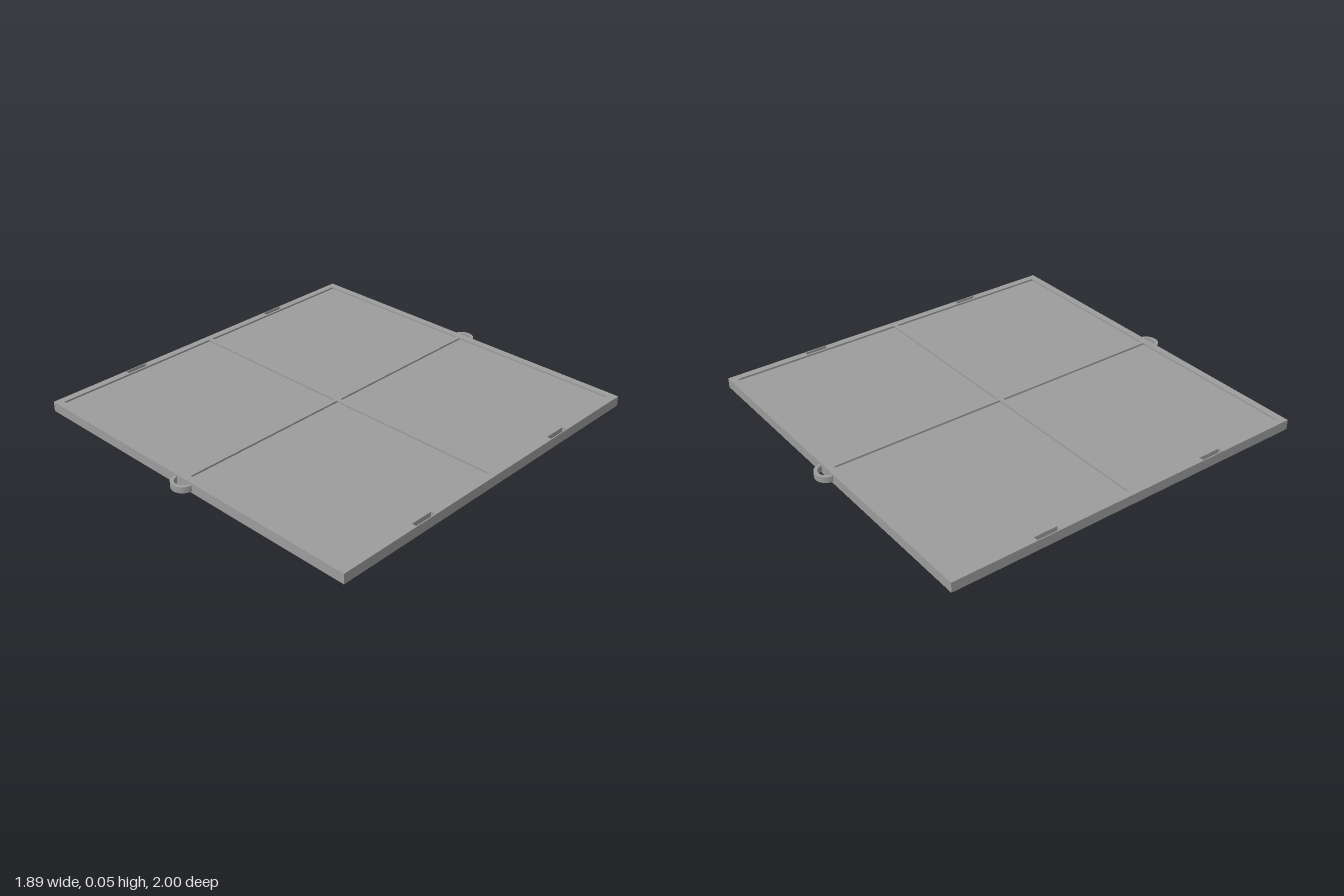
import * as THREE from 'three';

const HALF = 0.945;      // outer half width of the frame
const RIM = 0.036;       // rim width
const HEIGHT = 0.05;
const SLOT_FLOOR = 0.012;

function rect(Type, cx, cy, w, h) {
  const p = new Type();
  p.moveTo(cx - w / 2, cy - h / 2);
  p.lineTo(cx + w / 2, cy - h / 2);
  p.lineTo(cx + w / 2, cy + h / 2);
  p.lineTo(cx - w / 2, cy + h / 2);
  p.closePath();
  return p;
}

// Extrudes a plan outline upwards from y0 to y1
function slab(shape, y0, y1) {
  const g = new THREE.ExtrudeGeometry(shape, { depth: y1 - y0, bevelEnabled: false, curveSegments: 24 });
  g.rotateX(-Math.PI / 2);
  g.translate(0, y0, 0);
  return g;
}

export function createModel() {
  const group = new THREE.Group();
  const material = new THREE.MeshStandardMaterial({ color: 0x9c9c9c });
  const add = (name, geometry) => {
    const mesh = new THREE.Mesh(geometry, material);
    mesh.name = name;
    group.add(mesh);
    return mesh;
  };
  const inner = 2 * (HALF - RIM);

  // Square rim: solid lower layer, upper layer with four blind slots
  const ringShape = () => {
    const s = rect(THREE.Shape, 0, 0, 2 * HALF, 2 * HALF);
    s.holes.push(rect(THREE.Path, 0, 0, inner, inner));
    return s;
  };
  add('rimBase', slab(ringShape(), 0, SLOT_FLOOR));
  const slotted = ringShape();
  for (const x of [-0.929, 0.929])
    for (const z of [-0.463, 0.463])
      slotted.holes.push(rect(THREE.Path, x, z, 0.022, 0.118));
  add('slottedRim', slab(slotted, SLOT_FLOOR, HEIGHT));

  // Thin panel, shallow recess above and deeper recess below
  const panel = add('panel', new THREE.BoxGeometry(inner, 0.008, inner));
  panel.position.y = 0.037;

  // Crossing ribs
  const ribX = add('crossRib', new THREE.BoxGeometry(inner, HEIGHT, 0.022));
  const ribZ = add('lengthRib', new THREE.BoxGeometry(0.022, HEIGHT, inner));
  ribX.position.y = ribZ.position.y = HEIGHT / 2;

  // Half-ring loops at front and back
  const loop = new THREE.Shape();
  loop.absarc(0, 0, 0.057, 0, Math.PI, false);
  loop.absarc(0, 0, 0.04, Math.PI, 0, true);
  loop.closePath();
  const loopGeometry = slab(loop, 0.01, 0.04);
  const back = add('backLoop', loopGeometry);
  back.position.z = -0.943;
  const front = add('frontLoop', loopGeometry);
  front.position.z = 0.943;
  front.rotation.y = Math.PI;

  return group;
}
